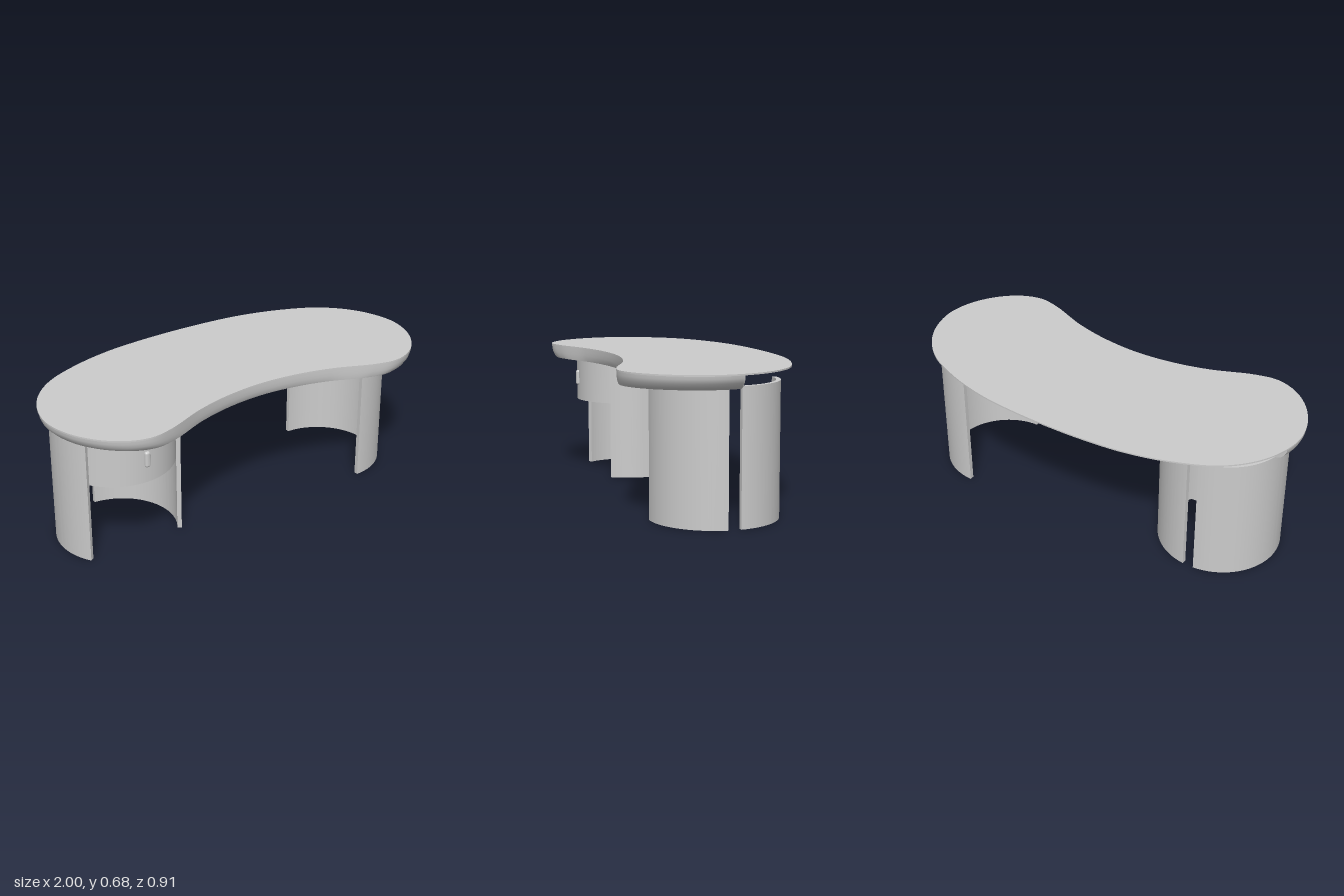
import * as THREE from 'three';
import { toCreasedNormals } from 'three/addons/utils/BufferGeometryUtils.js';
import { RoundedBoxGeometry } from 'three/addons/geometries/RoundedBoxGeometry.js';

const material = new THREE.MeshStandardMaterial({ color: 0xcccccc });
const rad = THREE.MathUtils.degToRad;
const OUTER = 0.298, INNER = 0.277;

function mesh(name, geometry) {
  const m = new THREE.Mesh(toCreasedNormals(geometry, 0.6), material);
  m.name = name;
  return m;
}

// Plan shape (x, z) raised from y0 to y1
function slab(name, shape, y0, y1) {
  const g = new THREE.ExtrudeGeometry(shape, { depth: y1 - y0, bevelEnabled: false, curveSegments: 40 });
  g.rotateX(Math.PI / 2);
  g.translate(0, y1, 0);
  return mesh(name, g);
}

// Curved upright panel: an arc of a thick tube
function panel(name, from, to) {
  const s = new THREE.Shape();
  s.absarc(0, 0, OUTER, rad(from), rad(to), false);
  s.absarc(0, 0, INNER, rad(to), rad(from), true);
  return slab(name, s, 0, 0.62);
}

// Kidney outline, from back centre round the left end to front centre, then mirrored
function kidneyOutline() {
  const half = [[0, -0.456], [0.2, -0.45], [0.4, -0.428], [0.61, -0.372], [0.79, -0.288], [0.905, -0.18],
    [0.972, -0.06], [1, 0.08], [0.975, 0.21], [0.925, 0.305], [0.862, 0.378], [0.785, 0.431], [0.69, 0.457],
    [0.58, 0.436], [0.38, 0.356], [0.2, 0.311], [0, 0.293]];
  const all = [...half, ...half.slice(1, -1).reverse().map(([x, z]) => [-x, z])];
  const curve = new THREE.CatmullRomCurve3(all.map(([x, z]) => new THREE.Vector3(x, 0, z)), true);
  curve.arcLengthDivisions = 1200;
  return curve.getSpacedPoints(400).slice(0, -1);
}

// Rounded apron: a thin curved section swept along the front half of the outline
function apron(outline) {
  const path = outline.filter((p) => p.z > -0.016);
  const section = [[1, 0.68], [0.998, 0.66], [0.989, 0.64], [0.97, 0.621], [0.945, 0.61],
    [0.925, 0.61], [0.952, 0.628], [0.969, 0.643], [0.977, 0.66], [0.98, 0.673]];
  const n = section.length, pos = [], idx = [];
  path.forEach((p, i) => {
    section.forEach(([s, y], j) => {
      pos.push(p.x * s, y, p.z * (1 - (1 - s) * 0.75));
      if (i === path.length - 1) return;
      const a = i * n + j, b = i * n + (j + 1) % n;
      idx.push(a, a + n, b, b, a + n, b + n);
    });
  });
  // End caps
  const e = (path.length - 1) * n;
  for (let j = 0; j < 4; j++) {
    const k = n - 1 - j;
    idx.push(j, j + 1, k, j + 1, k - 1, k);
    idx.push(e + j, e + k, e + j + 1, e + j + 1, e + k, e + k - 1);
  }
  const g = new THREE.BufferGeometry();
  g.setAttribute('position', new THREE.Float32BufferAttribute(pos, 3));
  g.setIndex(idx);
  return mesh('frontApron', g);
}

// Round drawer that fills the tube, with a small pull
function drawer() {
  const group = new THREE.Group();
  group.name = 'drawer';
  const body = mesh('drawerBody', new THREE.CylinderGeometry(INNER, INNER, 0.23, 80));
  body.position.y = 0.5;
  const pull = new THREE.Mesh(new RoundedBoxGeometry(0.027, 0.078, 0.026, 4, 0.011), material);
  pull.name = 'drawerPull';
  pull.position.set(0, 0.501, INNER);
  group.add(body, pull);
  return group;
}

export function createModel() {
  const model = new THREE.Group();
  model.name = 'kidneyDesk';

  const outline = kidneyOutline();
  const top = new THREE.Shape(outline.map((p) => new THREE.Vector2(p.x, p.z)));
  model.add(slab('deskTop', top, 0.673, 0.68), apron(outline));

  // Drawer pedestal: two panels, open at the front with a slot at the back
  const right = new THREE.Group();
  right.name = 'drawerPedestal';
  right.position.set(-0.645, 0, 0.051);
  right.add(panel('innerPanel', -84.7, 34), panel('outerPanel', 146, 264.7), drawer());

  // Open pedestal: half round with a slot at the outer end
  const left = new THREE.Group();
  left.name = 'openPedestal';
  left.position.set(0.62, 0, 0.004);
  left.add(panel('frontPanel', 5.6, 90), panel('backPanel', -90, -5.6));

  model.add(right, left);
  return model;
}
